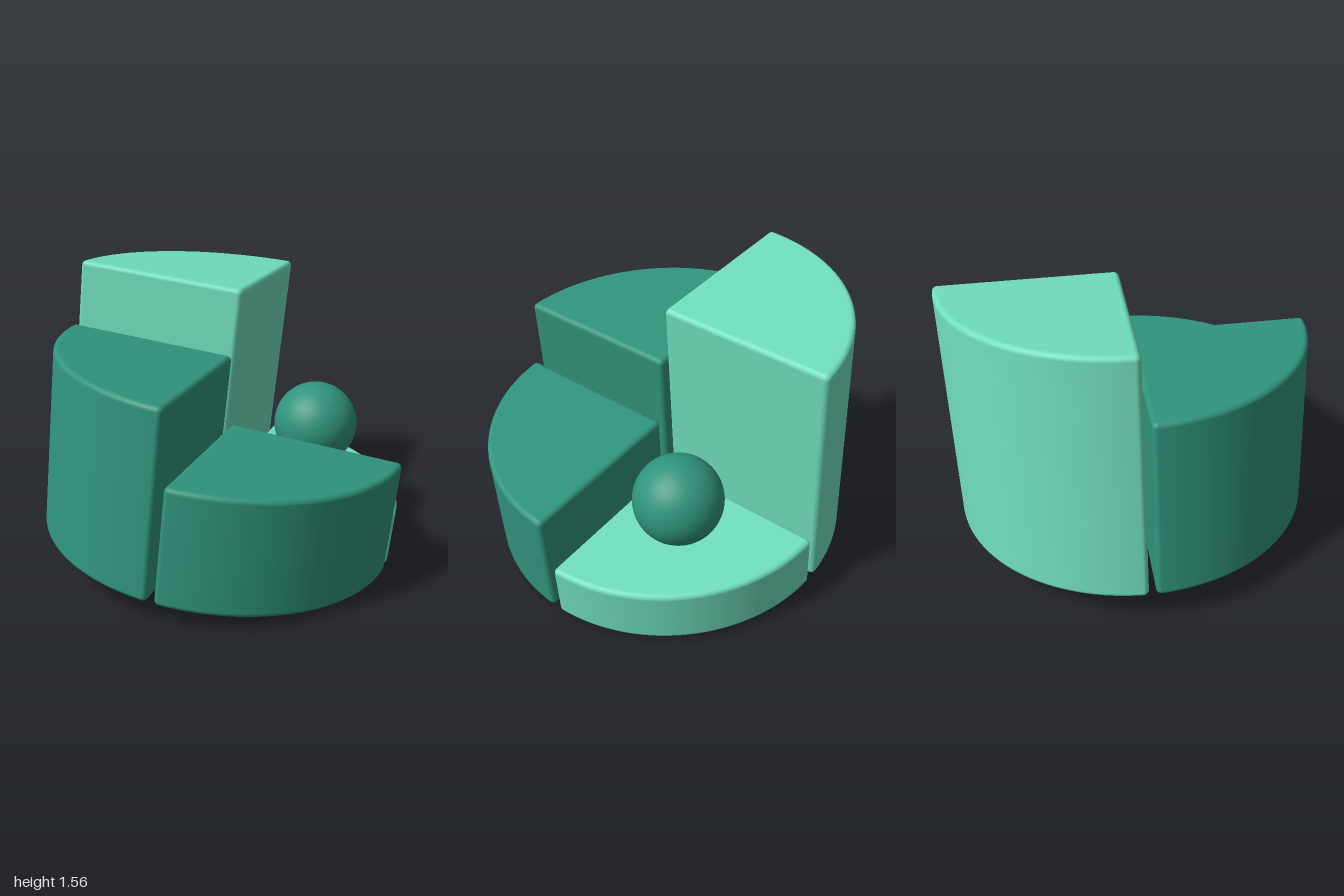
import * as THREE from 'three';

const RADIUS = 0.98, HALF_GAP = 0.018, ROUND = 0.028;
const BEVEL_STEPS = 5, CORNER_STEPS = 5, ARC_STEPS = 40;

// Inset outline of a quarter wedge; each point carries its outward angle
function wedgeOutline(start) {
  const d = HALF_GAP + ROUND, rho = RADIUS - ROUND;
  const a = Math.asin(d / rho), far = rho * Math.cos(a), H = Math.PI / 2;
  const points = [];
  const add = (u, v, angle) => points.push({
    x: u * Math.cos(start) - v * Math.sin(start),
    z: u * Math.sin(start) + v * Math.cos(start),
    angle: angle + start,
  });
  const corner = (u, v, from, to) => {
    for (let i = 0; i <= CORNER_STEPS; i++) add(u, v, from + (to - from) * i / CORNER_STEPS);
  };
  corner(d, d, -2 * H, -H);
  corner(far, d, -H, a);
  for (let i = 1; i < ARC_STEPS; i++) {
    const t = a + (H - 2 * a) * i / ARC_STEPS;
    add(rho * Math.cos(t), rho * Math.sin(t), t);
  }
  corner(d, far, H - a, 2 * H);
  return points;
}

// Quarter wedge with every edge rounded, lofted from the outline
function wedgeGeometry(start, height) {
  const outline = wedgeOutline(start), n = outline.length;
  const pos = [], nor = [], index = [];
  const rings = [];
  for (let i = 0; i <= BEVEL_STEPS; i++) rings.push([ROUND, -Math.PI / 2 * (1 - i / BEVEL_STEPS)]);
  for (let i = 0; i <= BEVEL_STEPS; i++) rings.push([height - ROUND, Math.PI / 2 * i / BEVEL_STEPS]);
  for (const [y, tilt] of rings) {
    for (const p of outline) {
      const nx = Math.cos(p.angle) * Math.cos(tilt), ny = Math.sin(tilt), nz = Math.sin(p.angle) * Math.cos(tilt);
      pos.push(p.x + nx * ROUND, y + ny * ROUND, p.z + nz * ROUND);
      nor.push(nx, ny, nz);
    }
  }
  for (let r = 0; r < rings.length - 1; r++) {
    for (let j = 0; j < n; j++) {
      const a = r * n + j, b = r * n + (j + 1) % n;
      index.push(a, a + n, b, b, a + n, b + n);
    }
  }
  // Flat bottom and top, fanned from the inner corner
  const top = (rings.length - 1) * n;
  for (let j = 1; j < n - 1; j++) {
    index.push(0, j, j + 1, top, top + j + 1, top + j);
  }
  const geometry = new THREE.BufferGeometry();
  geometry.setAttribute('position', new THREE.Float32BufferAttribute(pos, 3));
  geometry.setAttribute('normal', new THREE.Float32BufferAttribute(nor, 3));
  geometry.setIndex(index);
  return geometry;
}

export function createModel() {
  const darkGreen = new THREE.MeshStandardMaterial({ name: 'darkGreen', color: 0x30957c });
  const mint = new THREE.MeshStandardMaterial({ name: 'mint', color: 0x70debd });
  const model = new THREE.Group();
  model.name = 'steppedCylinder';

  // Four wedges of a cylinder, leaning together
  const wedges = new THREE.Group();
  wedges.name = 'wedges';
  wedges.position.set(-0.015, 0.093, -0.02);
  wedges.quaternion.setFromUnitVectors(
    new THREE.Vector3(0, 1, 0), new THREE.Vector3(0.08, 1, 0.064).normalize());
  const parts = [
    ['lowWedge', 0.328, mint],
    ['frontWedge', 0.64, darkGreen],
    ['sideWedge', 1.025, darkGreen],
    ['tallWedge', 1.38, mint],
  ];
  parts.forEach(([name, height, material], i) => {
    const start = THREE.MathUtils.degToRad(-38.2 + 90 * i);
    const wedge = new THREE.Mesh(wedgeGeometry(start, height), material);
    wedge.name = name;
    wedges.add(wedge);
  });
  model.add(wedges);

  // Ball hovering just above the lowest step
  const ball = new THREE.Mesh(new THREE.SphereGeometry(0.238, 48, 32), darkGreen);
  ball.name = 'ball';
  ball.position.set(0.587, 0.634, 0.08);
  model.add(ball);
  return model;
}
